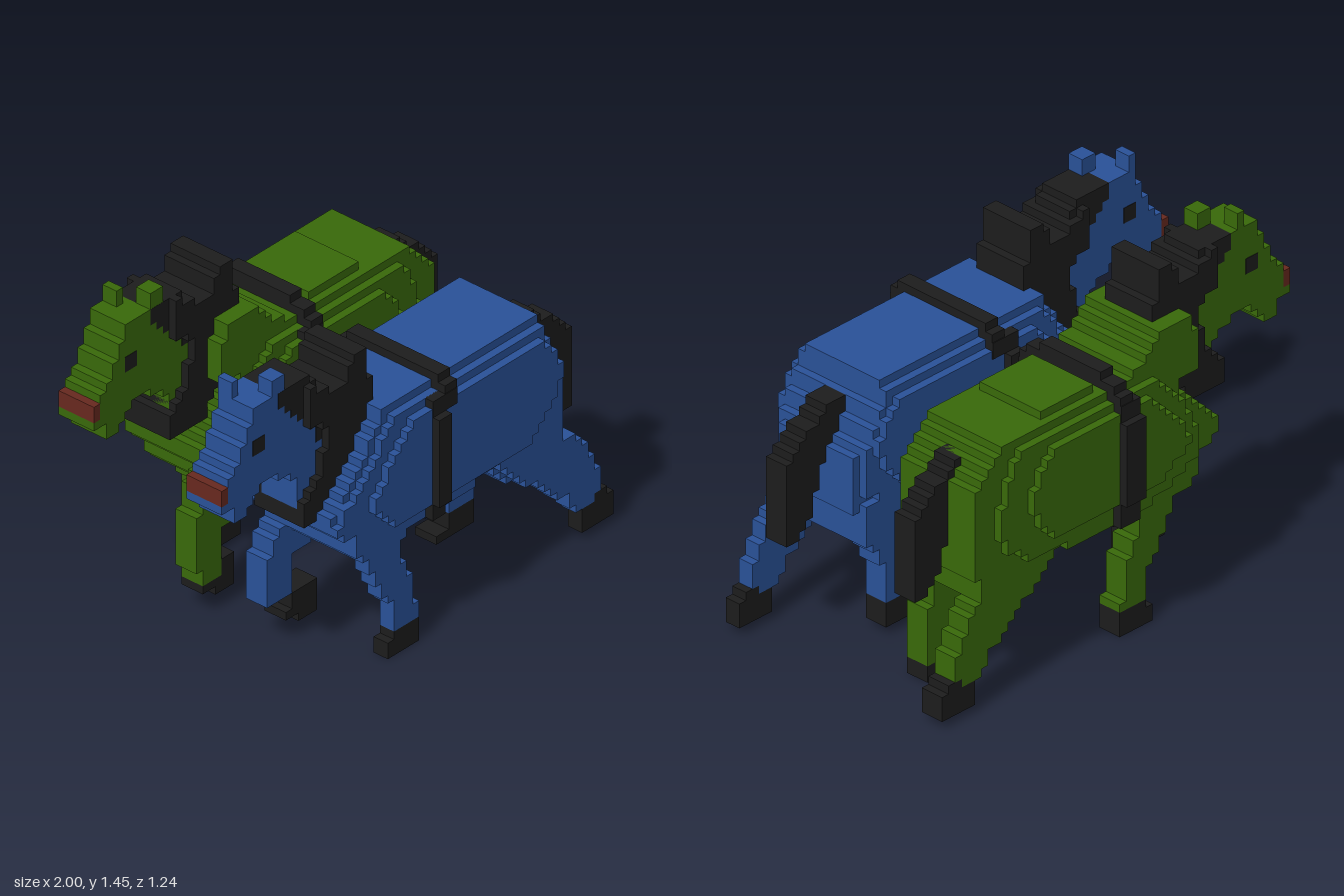
import * as THREE from 'three';
import { mergeGeometries } from 'three/addons/utils/BufferGeometryUtils.js';

const V = 2 / 58; // block size
const mat = (name, color) => {
  const m = new THREE.MeshStandardMaterial({ color });
  m.name = name;
  return m;
};
const snap = (x) => Math.round((x + 1) / V) * V - 1;
const shift = (poly, dx, dy) => poly.map(([x, y]) => [x + dx, y + dy]);

function box(x0, x1, y0, y1, z0, z1) {
  return new THREE.BoxGeometry(x1 - x0, y1 - y0, z1 - z0)
    .translate((x0 + x1) / 2, (y0 + y1) / 2, (z0 + z1) / 2);
}

// Fills a side outline with rows of blocks, joining equal rows
function blocks(poly, z0, z1) {
  const geos = [];
  let open = new Map();
  const top = Math.ceil(Math.max(...poly.map((p) => p[1])) / V);
  for (let r = 0; r <= top; r++) {
    const y = (r + 0.5) * V, hits = [];
    poly.forEach(([ax, ay], i) => {
      const [bx, by] = poly[(i + 1) % poly.length];
      if ((ay > y) !== (by > y)) hits.push(ax + ((y - ay) * (bx - ax)) / (by - ay));
    });
    hits.sort((a, b) => a - b);
    const next = new Map();
    for (let i = 0; i + 1 < hits.length; i += 2) {
      const a = snap(hits[i]), b = snap(hits[i + 1]);
      if (b - a < V / 2) continue;
      const key = a.toFixed(3) + '/' + b.toFixed(3);
      next.set(key, open.get(key) || { a, b, r });
    }
    for (const [key, s] of open) {
      if (!next.has(key)) geos.push(box(s.a, s.b, s.r * V, r * V, z0, z1));
    }
    open = next;
  }
  return mergeGeometries(geos);
}

// Side outlines; the Upright ones belong to the second animal only
const OUTLINE = {
  core: [[-.52, .72], [-.5, .66], [-.42, .6], [-.38, .48], [-.17, .46], [-.1, .53], [.17, .53], [.34, .55], [.4, .5],
    [.74, .5], [.75, .78], [.7, .85], [.66, .92], [.64, .97], [.6, 1.07], [-.22, 1.07], [-.36, .86], [-.47, .74]],
  ribs: [[-.52, .68], [-.42, .6], [-.1, .53], [.17, .53], [.34, .54], [.55, .54], [.7, .62], [.74, .7], [.74, .78],
    [.66, .92], [.61, 1.035], [-.18, 1.035], [-.35, .85], [-.48, .73]],
  ribsUpright: [[-.35, .72], [-.33, .62], [-.1, .53], [.2, .53], [.5, .54], [.66, .64], [.69, .75], [.66, .9],
    [.58, 1.035], [-.14, 1.035], [-.28, .87]],
  flank: [[-.35, .72], [-.28, .82], [-.2, .92], [-.12, 1], [.58, 1], [.69, .84], [.62, .7], [.5, .6], [-.2, .58]],
  flankUpright: [[-.27, .74], [-.2, .86], [-.1, .95], [-.04, 1], [.42, 1], [.55, .86], [.55, .76], [.42, .62], [-.12, .62]],
  haunch: [[.36, .56], [.4, .48], [.47, .41], [.72, .41], [.74, .6]],
  head: [[-1, .93], [-1, .966], [-.966, .966], [-.966, 1.065], [-.93, 1.075], [-.92, 1.1], [-.86, 1.2], [-.82, 1.28],
    [-.8, 1.31], [-.69, 1.31], [-.66, 1.23], [-.4, 1.18], [-.35, .85], [-.48, .76], [-.585, .76], [-.6, .88], [-.65, .93],
    [-.7, .97], [-.77, .97], [-.81, .93], [-.86, .9], [-.86, .865], [-.93, .865], [-.93, .93]],
  crest: [[-.69, 1.31], [-.69, 1.26], [-.65, 1.2], [-.58, 1.16], [-.5, 1.08], [-.46, 1], [-.4, 1], [-.42, 1.2], [-.53, 1.31]],
  mane: [[-.55, 1.13], [-.55, 1.3], [-.5, 1.25], [-.44, 1.23], [-.42, 1.21], [-.37, 1.21], [-.33, 1.28], [-.3, 1.31],
    [-.26, 1.31], [-.24, 1.22], [-.21, 1.15], [-.21, 1.04], [-.25, .9], [-.4, .7], [-.585, .7], [-.585, .76],
    [-.51, .84], [-.47, .95], [-.45, 1.06]],
  tail: [[.65, .97], [.74, .97], [.82, .9], [.9, .84], [.96, .78], [.96, .45], [.9, .45], [.87, .5], [.83, .53],
    [.8, .65], [.77, .75], [.68, .87]],
  frontLeg: [[-.45, .6], [-.06, .56], [-.17, .46], [-.17, .4], [-.1, .28], [-.08, .1], [-.19, .1], [-.2, .22],
    [-.28, .3], [-.32, .42]],
  frontHoof: [[-.24, 0], [-.24, .07], [-.19, .07], [-.19, .1], [-.07, .1], [-.07, 0]],
  liftedLeg: [[-.4, .58], [-.42, .51], [-.48, .46], [-.52, .4], [-.52, .2], [-.38, .2], [-.38, .37], [-.28, .38], [-.18, .56]],
  liftedLegUpright: [[-.45, .58], [-.48, .53], [-.5, .46], [-.51, .3], [-.49, .14], [-.38, .14], [-.38, .32],
    [-.28, .38], [-.18, .56]],
  liftedHoof: [[-.38, .205], [-.24, .205], [-.24, .07], [-.35, .07], [-.35, .1], [-.41, .1], [-.41, .14], [-.38, .14]],
  backLeg: [[.34, .56], [.73, .62], [.74, .5], [.85, .4], [.92, .25], [.93, .175], [.9, .175], [.9, .13], [.8, .13],
    [.75, .22], [.62, .33], [.5, .42]],
  backHoof: [[.83, .035], [.83, .14], [.9, .14], [.9, .175], [.965, .175], [.965, .14], [1, .14], [1, .035]],
  innerLeg: [[.4, .54], [.74, .6], [.72, .45], [.64, .33], [.62, .14], [.48, .14], [.48, .19], [.55, .27], [.54, .35]],
  innerHoof: [[.42, .035], [.42, .07], [.47, .07], [.47, .135], [.62, .135], [.62, .035]],
  innerLegUpright: [[.45, .56], [.76, .6], [.73, .48], [.71, .38], [.77, .23], [.75, .07], [.63, .07], [.62, .22], [.56, .35]],
  innerHoofUpright: [[.59, 0], [.59, .07], [.76, .07], [.76, 0]],
};

function horse(o, coat, dark, red) {
  const g = new THREE.Group();
  const add = (name, geo, m) => {
    const mesh = new THREE.Mesh(geo, m);
    mesh.name = name;
    g.add(mesh);
  };
  const part = (name, key, [dx, dy], z0, z1, m) => add(name, blocks(shift(OUTLINE[key], dx, dy), z0, z1), m);
  const pair = (name, make, m) => { for (const s of [-1, 1]) add(name, make(s), m); };

  // Rounded trunk in three widths
  part('trunk', 'core', o.body, -5.5 * V, 5.5 * V, coat);
  part('ribs', 'ribs' + o.pose, [0, 0], -6.5 * V, 6.5 * V, coat);
  part('flanks', 'flank' + o.pose, [0, 0], -7.5 * V, 7.5 * V, coat);
  part('haunch', 'haunch', o.haunch, -5.5 * V, 5.5 * V, coat);
  if (o.pose) {
    add('withers', blocks([[-.4, .95], [-.35, 1.21], [-.19, 1.21], [-.14, 1.15], [-.03, 1.09], [0, 1]], -5.5 * V, 5.5 * V), coat);
    add('rump', blocks([[.58, .55], [.58, 1.05], [.66, 1.03], [.75, .96], [.79, .91], [.79, .62], [.75, .55]], -5.5 * V, 5.5 * V), coat);
    add('backPlate', box(snap(.14), snap(.41), 30 * V, 32 * V, -4.5 * V, 4.5 * V), coat);
    add('strapPad', box(.035, .1, 31 * V, 33 * V, -4.5 * V, 4.5 * V), dark);
  }

  // Head, mane and tail
  part('headAndNeck', 'head', o.head, -2.5 * V, 2.5 * V, coat);
  part('maneFront', 'crest', o.head, -2.52 * V, 2.52 * V, dark);
  part('mane', 'mane', o.mane, -3.5 * V, 3.5 * V, dark);
  part('tail', 'tail', o.tail, -1.5 * V, 1.5 * V, dark);
  const [hx, hy] = o.head;
  // One ear is turned forward, the other back
  add('forwardEar', box(o.ears[0], o.ears[0] + V, 37 * V + hy, 40 * V + hy, -2.5 * V, -.5 * V), coat);
  add('backEar', box(o.ears[1], o.ears[1] + 2 * V, 38 * V + hy, 40 * V + hy, .5 * V, 2.5 * V), coat);
  add('mouth', box(-1 + hx, -1 + V + hx, 28 * V + hy, 30 * V + hy, -2.5 * V, 2.5 * V), red);
  pair('eye', (s) => box(-.83 + hx, -.765 + hx, 1.105 + hy, 1.17 + hy, s * 2.5 * V - .002, s * 2.5 * V + .002), dark);

  // Girth strap stepping around the trunk
  const { x: sx, w, low } = o.strap;
  const strap = (name, x0, x1, y0, y1, z0, z1) =>
    pair(name, (s) => box(x0, x1, y0, y1, Math.min(s * z0, s * z1), Math.max(s * z0, s * z1)), dark);
  strap('strapSide', sx, sx + w, low, 28 * V, 7.4 * V, 8.5 * V);
  strap('strapLower', sx, sx + w, 15 * V, low, 6.4 * V, 7.6 * V);
  strap('strapShoulder', sx, .1, 28 * V, 30 * V, 6.4 * V, 7.6 * V);
  strap('strapCorner', .035, .1, 29.5 * V, 31 * V, 5.4 * V, 7.5 * V);
  add('strapTop', box(.035, .1, 30.5 * V, 32 * V, -6.5 * V, 6.5 * V), dark);
  add('strapBelly', box(sx, sx + w, 15 * V - .006, 16 * V, -6.5 * V, 6.5 * V), dark);

  // Outer legs stride, inner legs are lifted or stand under the body
  const [a, b] = o.outer, [c, d] = o.inner;
  part('outerFrontLeg', 'frontLeg', o.front, a, b, coat);
  part('outerFrontHoof', 'frontHoof', o.front, a, b, dark);
  part('outerBackLeg', 'backLeg', o.back, a, b, coat);
  part('outerBackHoof', 'backHoof', o.back, a, b, dark);
  part('innerFrontLeg', 'liftedLeg' + o.pose, [0, 0], c, d, coat);
  part('innerFrontHoof', 'liftedHoof', o.lifted, c, d, dark);
  part('innerBackLeg', 'innerLeg' + o.pose, [0, 0], c, d, coat);
  part('innerBackHoof', 'innerHoof' + o.pose, [0, 0], c, d, dark);
  return g;
}

export function createModel() {
  const model = new THREE.Group();
  const dark = mat('black', 0x1d1d1d), red = mat('dark red', 0x68291f);
  const blue = horse({
    body: [0, 0], haunch: [0, 0], head: [0, 0], mane: [0, 0], tail: [0, 0],
    ears: [-1 + 5 * V, -1 + 8 * V], front: [0, 0], back: [0, 0], lifted: [0, 0], pose: '',
    outer: [4.5 * V, 6.5 * V], inner: [-6.5 * V, -3.5 * V],
    strap: { x: -V, w: 2 * V, low: 17 * V },
  }, mat('blue coat', 0x2a5299), dark, red);
  blue.name = 'blueHorse';
  blue.position.z = 9.5 * V;
  const green = horse({
    body: [V, 0], haunch: [V, V], head: [V, 2 * V], mane: [0, 3 * V], tail: [0, V],
    ears: [-1 + 8 * V, -1 + 10 * V], front: [.1, 0], back: [-V, 0], lifted: [-2 * V, 0], pose: 'Upright',
    outer: [-5.5 * V, -2.5 * V], inner: [2.5 * V, 5.5 * V],
    strap: { x: 0, w: 3 * V, low: 18 * V },
  }, mat('green coat', 0x396a0a), dark, red);
  green.name = 'greenHorse';
  green.position.z = -9.5 * V;
  model.add(blue, green);
  return model;
}
